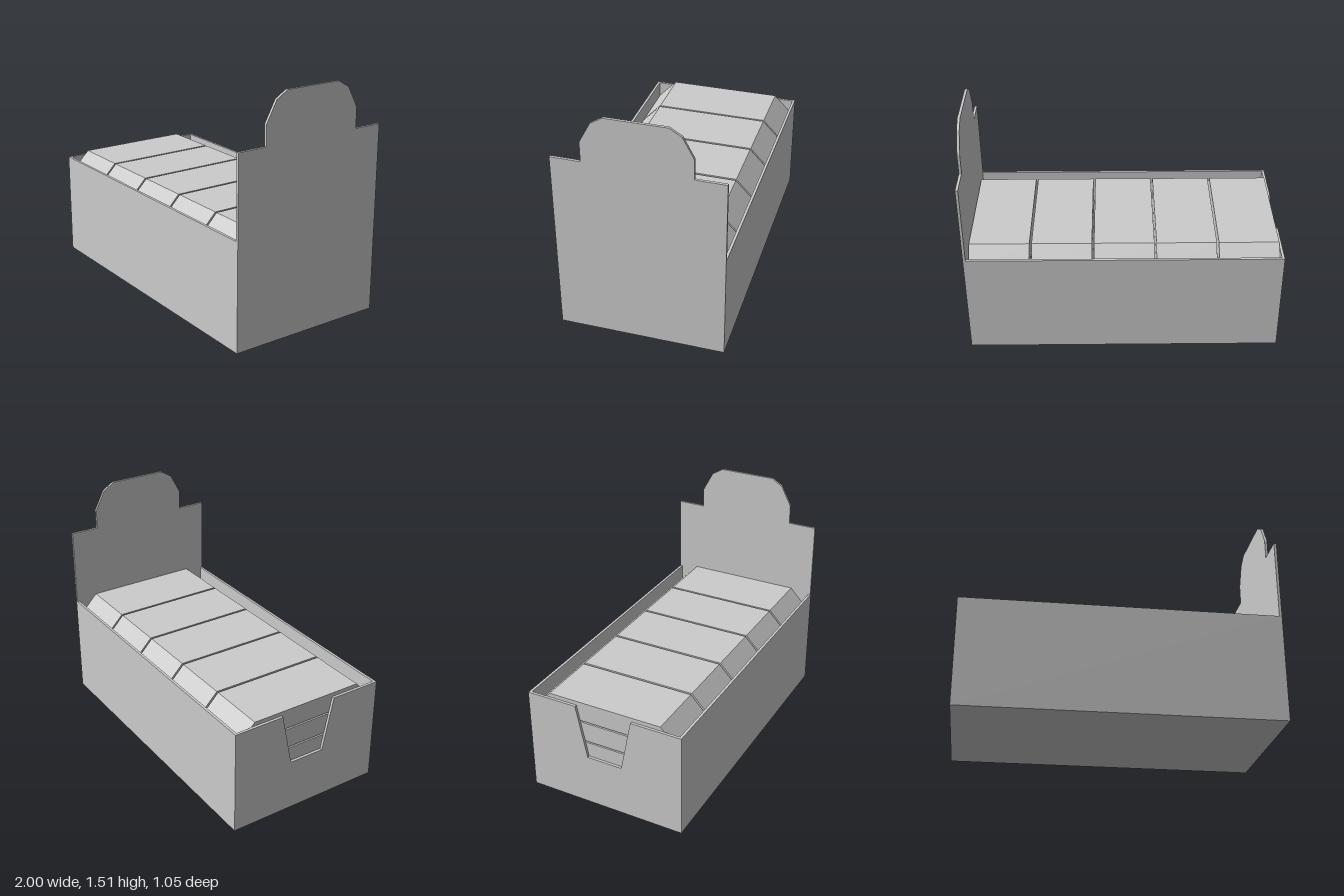
import * as THREE from 'three';

const T = 0.017;          // board thickness
const L = 1, W = 0.525;   // half length and half width
const H = 0.69;           // wall height

const material = new THREE.MeshStandardMaterial({ color: 0xcccccc, flatShading: true });

// Extrudes an outline given as [z, y] points along +x, starting at x0
function slab(name, points, x0, depth) {
  const shape = new THREE.Shape(points.map(([z, y]) => new THREE.Vector2(-z, y)));
  const geometry = new THREE.ExtrudeGeometry(shape, { depth, bevelEnabled: false });
  geometry.rotateY(Math.PI / 2);
  geometry.translate(x0, 0, 0);
  const mesh = new THREE.Mesh(geometry, material);
  mesh.name = name;
  return mesh;
}

function board(name, w, h, d, x, y, z) {
  const mesh = new THREE.Mesh(new THREE.BoxGeometry(w, h, d), material);
  mesh.position.set(x, y, z);
  mesh.name = name;
  return mesh;
}

// Completes a half outline by mirroring it across z = 0
const mirrored = (half) => [...half, ...half.map(([z, y]) => [-z, y]).reverse()];

export function createModel() {
  const model = new THREE.Group();
  model.name = 'displayBox';

  // Open carton: floor and long walls
  const inner = 2 * (L - T);
  model.add(board('floor', inner, T, 2 * (W - T), 0, T / 2, 0));
  for (const [name, s] of [['frontWall', 1], ['backWall', -1]]) {
    model.add(board(name, inner, H, T, 0, H / 2, s * (W - T / 2)));
  }

  // Low end wall with a tapered notch
  model.add(slab('notchedEndWall',
    mirrored([[W, 0], [W, H], [0.19, H], [0.118, 0.34]]), -L, T));

  // Tall end wall with a raised header
  model.add(slab('headerPanel', mirrored([
    [W, 0], [W, 1.21], [0.335, 1.21], [0.335, 1.34], [0.265, 1.47], [0.19, 1.515],
  ]), L - T, T));

  // Stacked bars with sloping ends, five across and five high
  const bars = new THREE.Group();
  bars.name = 'bars';
  const pitchX = 0.3945, barWidth = 0.381, pitchY = 0.1395, barHeight = 0.13;
  for (let row = 0; row < 5; row++) {
    const y = T + 0.0105 + row * pitchY;
    const profile = mirrored([[0.505, y], [0.38, y + barHeight]]);
    for (let col = 0; col < 5; col++) {
      bars.add(slab('bar', profile, -0.982 + col * pitchX, barWidth));
    }
  }
  model.add(bars);

  return model;
}
